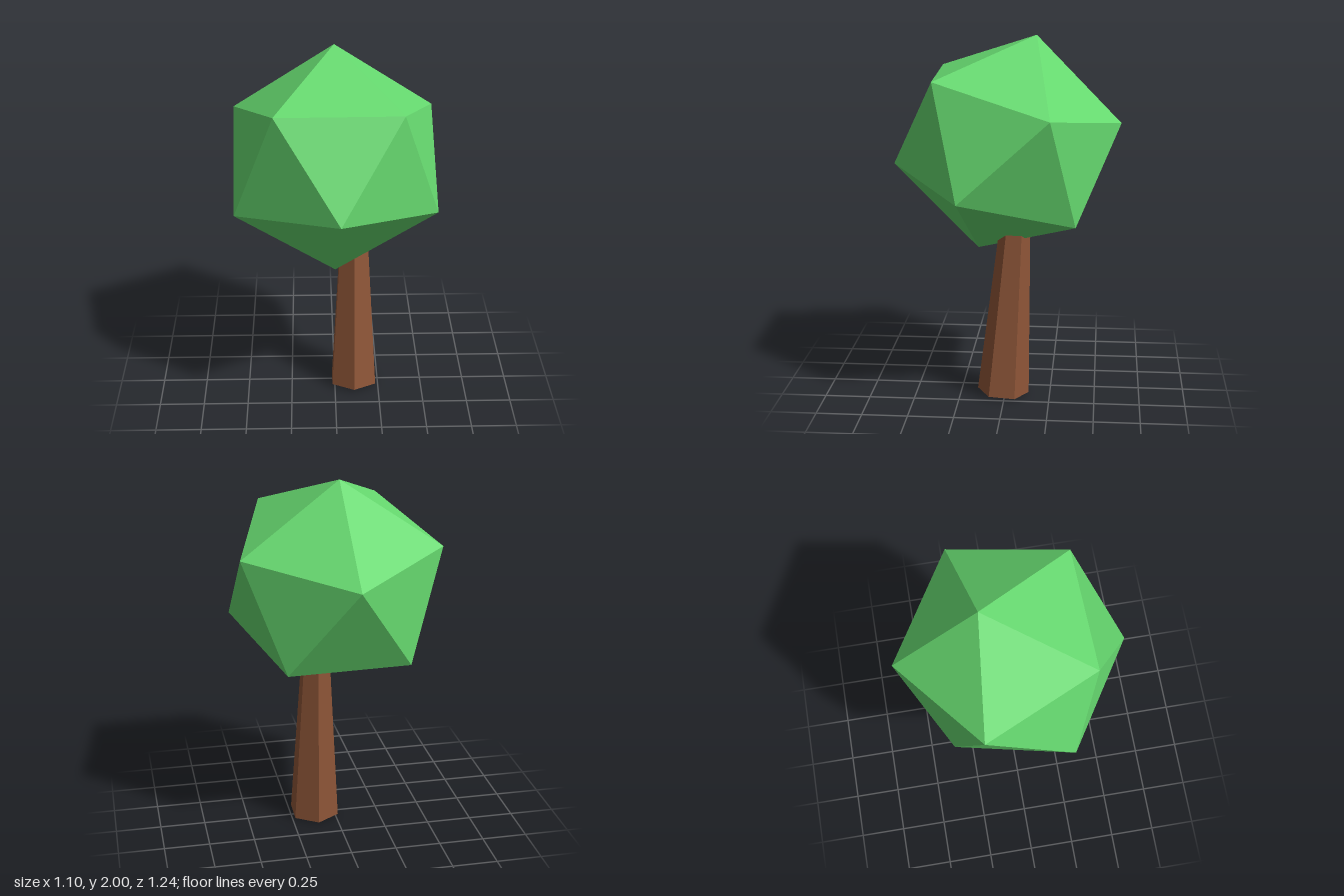
import * as THREE from 'three';
import { ConvexGeometry } from 'three/addons/geometries/ConvexGeometry.js';

export function createModel() {
  const tree = new THREE.Group();
  tree.name = 'tree';

  // Foliage: slightly flattened icosahedron, six corners and their opposites
  const corners = [
    [0, 0.593, -0.16], [0.02, -0.117, 0.622], [0.55, -0.222, 0.222],
    [-0.32, 0.388, 0.388], [-0.54, -0.215, 0.258], [0.35, 0.383, 0.366],
  ].map((c) => new THREE.Vector3(...c));
  const points = corners.flatMap((c) => [c, c.clone().negate()]);
  const foliage = new THREE.Mesh(
    new ConvexGeometry(points),
    new THREE.MeshStandardMaterial({ color: 0x66d96f, flatShading: true })
  );
  foliage.name = 'foliage';
  foliage.position.y = 1.407;
  tree.add(foliage);

  // Trunk: tapered six-sided post leaning back, its top hidden in the foliage
  const height = 1.1;
  const trunkGeometry = new THREE.CylinderGeometry(0.075, 0.144, height, 6);
  trunkGeometry.translate(0, height / 2, 0);
  const trunk = new THREE.Mesh(
    trunkGeometry,
    new THREE.MeshStandardMaterial({ color: 0x8f5638, flatShading: true })
  );
  trunk.name = 'trunk';
  trunk.position.set(0.11, 0.01, 0.0125);
  trunk.rotation.x = -0.068;
  tree.add(trunk);

  return tree;
}
